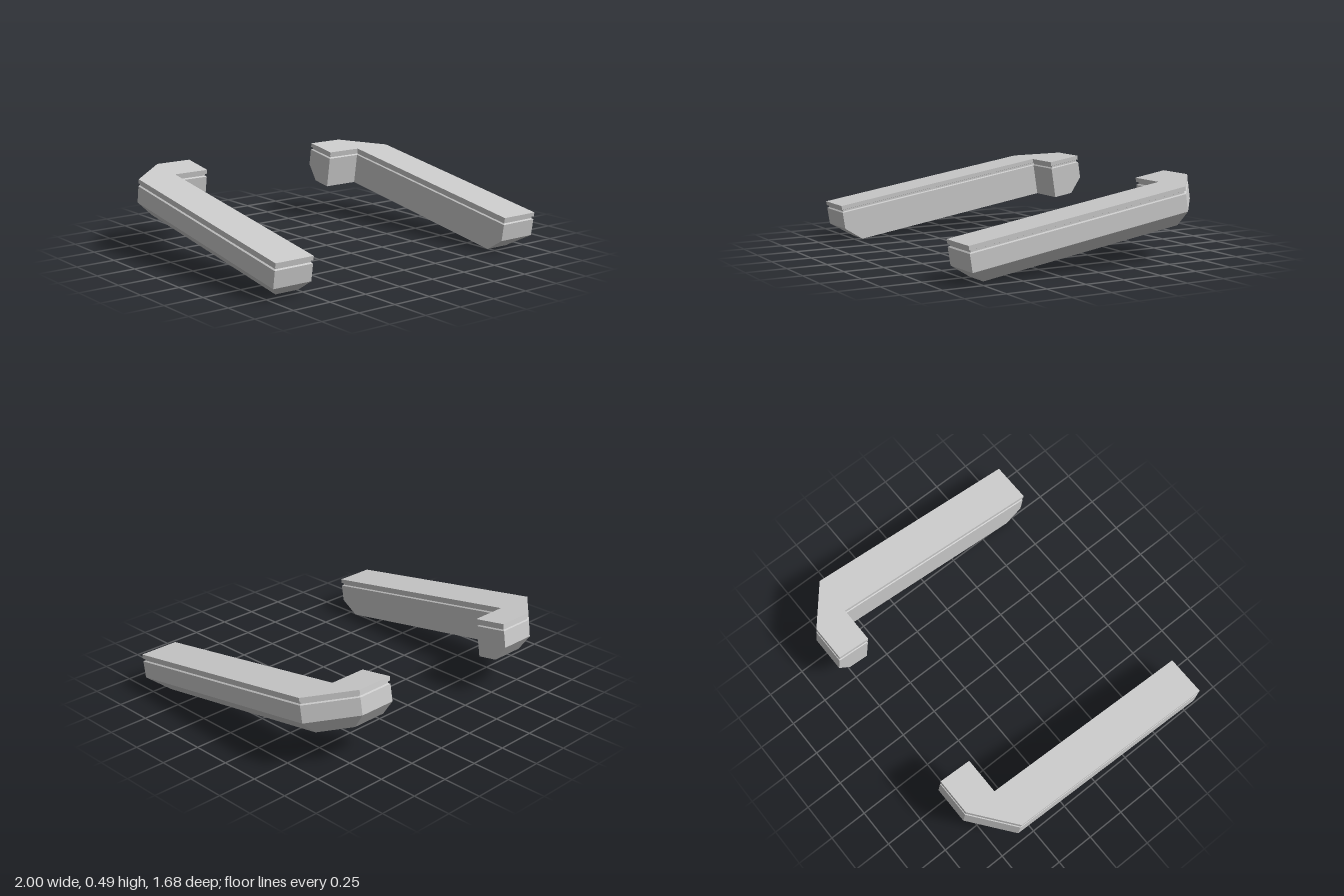
import * as THREE from 'three';

// Plan outline of one L-shaped arm (x, z), counter-clockwise seen from above
const PLAN = [
  [0.74, 0.795], [1, 0.795], [1, -0.669], [0.74, -0.883],
  [0.5, -0.883], [0.5, -0.665], [0.74, -0.665],
];
// Inset of each edge at the underside: front, outer, diagonal, back, then straight inner walls
const CHAMFER = [0.107, 0.1, 0.075, 0.087, 0, 0, 0];
const GROOVE = PLAN.map(() => 0.01);
const FLUSH = PLAN.map(() => 0);

// Levels from the underside to the top
const LEVELS = [
  [0.108, CHAMFER], [0.201, FLUSH], [0.308, FLUSH],
  [0.314, GROOVE], [0.325, GROOVE], [0.328, FLUSH], [0.354, FLUSH],
];

// Move every edge of the plan inward by its own inset and intersect neighbours
function insetPlan(insets) {
  const n = PLAN.length;
  const lines = PLAN.map((p, i) => {
    const q = PLAN[(i + 1) % n];
    const len = Math.hypot(q[0] - p[0], q[1] - p[1]);
    const d = [(q[0] - p[0]) / len, (q[1] - p[1]) / len];
    return { p: [p[0] + d[1] * insets[i], p[1] - d[0] * insets[i]], d };
  });
  return lines.map((b, i) => {
    const a = lines[(i + n - 1) % n];
    const cross = a.d[0] * b.d[1] - a.d[1] * b.d[0];
    const t = ((b.p[0] - a.p[0]) * b.d[1] - (b.p[1] - a.p[1]) * b.d[0]) / cross;
    return [a.p[0] + a.d[0] * t, a.p[1] + a.d[1] * t];
  });
}

// Stack the levels into a closed solid; side = -1 mirrors it
function armGeometry(side) {
  const n = PLAN.length;
  const rings = LEVELS.map(([y, insets]) =>
    insetPlan(insets).map(([x, z]) => [side * x, y, z]));
  const pos = [];
  const tri = (a, b, c) => pos.push(...a, ...(side > 0 ? b : c), ...(side > 0 ? c : b));

  for (let k = 0; k < rings.length - 1; k++) {
    for (let i = 0; i < n; i++) {
      const j = (i + 1) % n;
      const [lo, hi] = [rings[k], rings[k + 1]];
      tri(lo[i], lo[j], hi[j]);
      tri(lo[i], hi[j], hi[i]);
    }
  }

  // Flat underside and top
  const caps = THREE.ShapeUtils.triangulateShape(
    PLAN.map(([x, z]) => new THREE.Vector2(x, -z)), []);
  const bottom = rings[0];
  const top = rings[rings.length - 1];
  for (const [a, b, c] of caps) {
    tri(top[a], top[b], top[c]);
    tri(bottom[a], bottom[c], bottom[b]);
  }

  const geo = new THREE.BufferGeometry();
  geo.setAttribute('position', new THREE.Float32BufferAttribute(pos, 3));
  geo.computeVertexNormals();
  return geo;
}

export function createModel() {
  const group = new THREE.Group();
  group.name = 'armPair';
  const material = new THREE.MeshStandardMaterial({ color: 0xcccccc, flatShading: true });

  for (const [name, side] of [['leftArm', 1], ['rightArm', -1]]) {
    const arm = new THREE.Mesh(armGeometry(side), material);
    arm.name = name;
    // Both arms rise towards the back
    arm.rotation.x = THREE.MathUtils.degToRad(9);
    group.add(arm);
  }
  return group;
}
